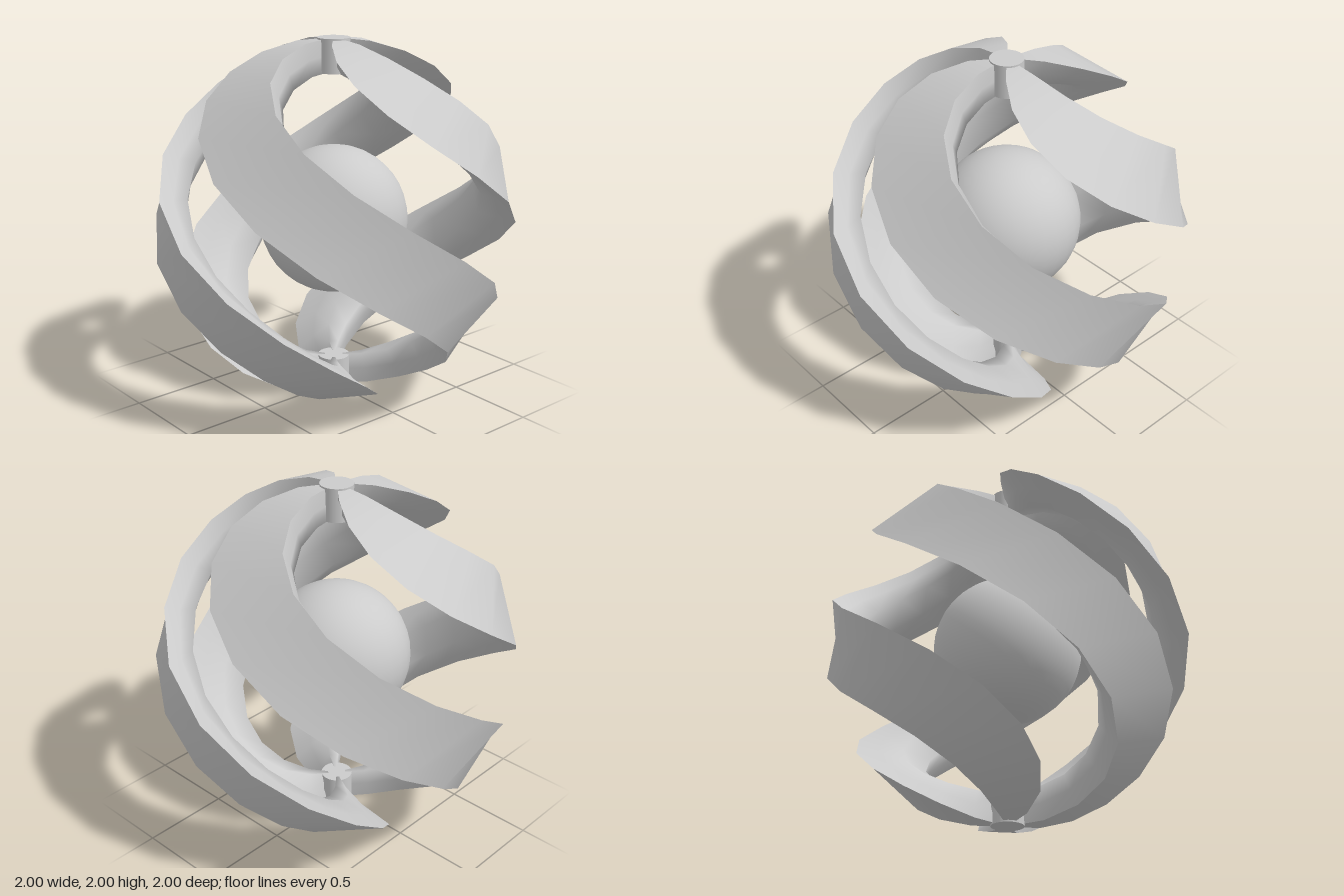
import * as THREE from 'three';

const ROWS = 16;           // latitude steps from pole to pole
const OUTER = 1, MIDDLE = 0.91, INNER = 0.82;
const LOW = Math.PI / 4, UP = Math.PI / 2; // angles of the two band edges at the top pole
const material = new THREE.MeshStandardMaterial({ color: 0xcccccc });
const bandMaterial = new THREE.MeshStandardMaterial({ color: 0xcccccc, side: THREE.DoubleSide });

// Point on a shell of the given radius, twisted half a turn from pole to pole
function shellPoint(offset, radius, row) {
  const lat = -Math.PI / 2 + Math.PI * row / ROWS;
  const y = radius * Math.sin(lat);
  const r = radius * Math.cos(lat);
  const a = offset + (Math.PI / 2) * (1 - y);
  return [r * Math.cos(a), y + 1, -r * Math.sin(a)];
}

// Smooth strip running pole to pole through columns of [offset, radius]
function strip(columns, flip) {
  const positions = [], index = [], n = columns.length;
  for (let j = 0; j <= ROWS; j++)
    for (const [offset, radius] of columns) positions.push(...shellPoint(offset, radius, j));
  for (let j = 0; j < ROWS; j++)
    for (let i = 0; i < n - 1; i++) {
      const a = j * n + i, b = a + 1, d = a + n, c = d + 1;
      if (flip) index.push(a, b, d, b, c, d);
      else index.push(a, b, c, a, c, d);
    }
  const g = new THREE.BufferGeometry();
  g.setAttribute('position', new THREE.Float32BufferAttribute(positions, 3));
  g.setIndex(index);
  g.computeVertexNormals();
  return g;
}

export function createModel() {
  const model = new THREE.Group();
  model.name = 'spiralCage';
  const add = (parent, name, geometry, mat = material) => {
    const mesh = new THREE.Mesh(geometry, mat);
    mesh.name = name;
    parent.add(mesh);
    return mesh;
  };

  // Four twisted bands: a broad outer face, and rounded rims that taper to a narrower inner face
  const midInset = 0.09, inset = 0.23;
  const outerFace = strip([[LOW, OUTER], [UP, OUTER]], false);
  const innerSide = strip([
    [UP, OUTER], [UP - midInset, MIDDLE], [UP - inset, INNER],
    [LOW + inset, INNER], [LOW + midInset, MIDDLE], [LOW, OUTER],
  ], true);
  for (let k = 0; k < 4; k++) {
    const band = new THREE.Group();
    band.name = 'spiralBand' + (k + 1);
    add(band, 'outerFace', outerFace, bandMaterial);
    add(band, 'innerSide', innerSide, bandMaterial);
    band.rotation.y = k * Math.PI / 2;
    model.add(band);
  }

  // Ball in the middle
  add(model, 'coreBall', new THREE.SphereGeometry(0.41, 32, 20)).position.y = 1;

  // Short pins joining the bands at both poles
  const pin = new THREE.CylinderGeometry(0.09, 0.09, 0.185, 24);
  add(model, 'topPin', pin).position.y = 2 - 0.0925;
  add(model, 'bottomPin', pin).position.y = 0.0925;

  return model;
}
